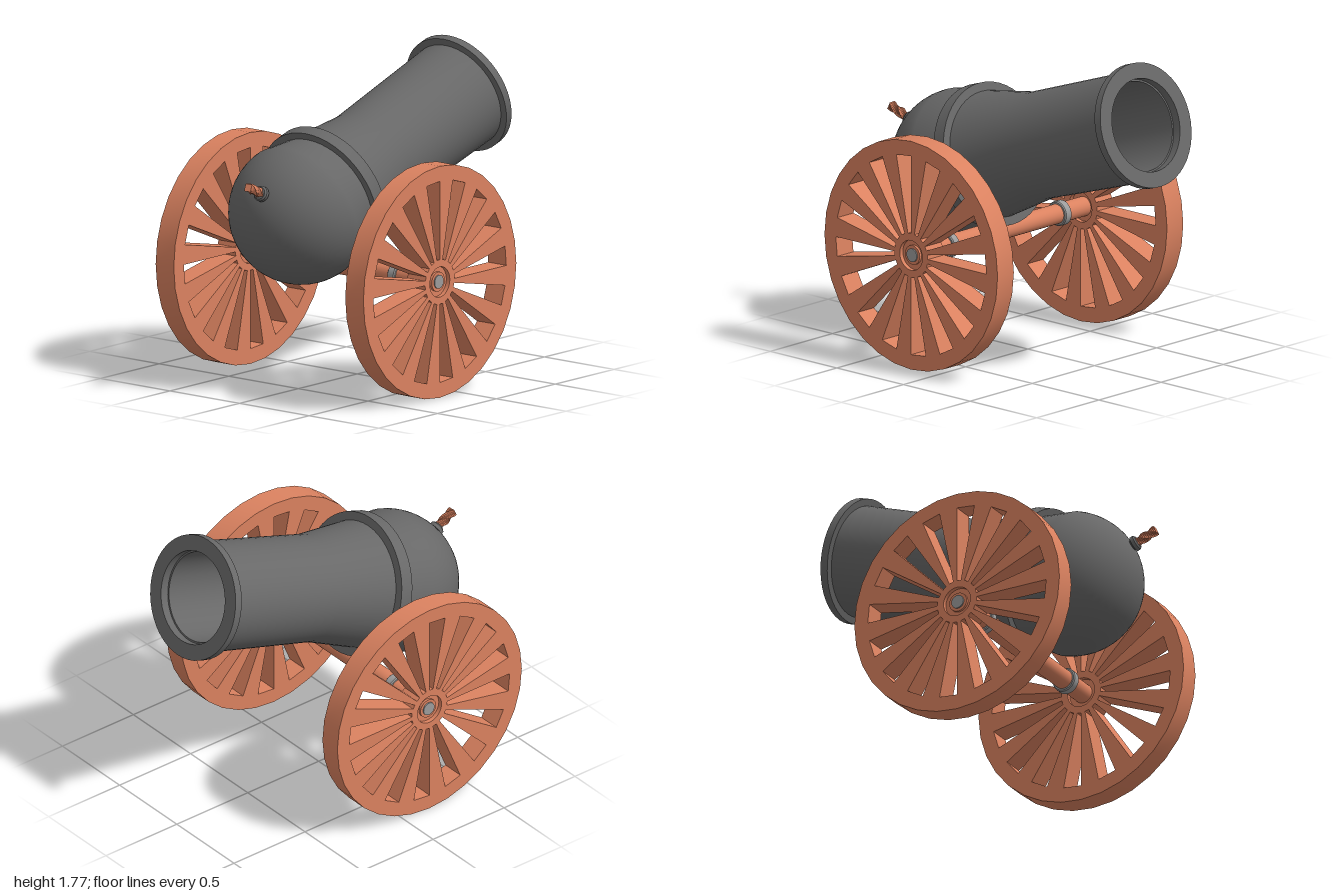
import * as THREE from 'three';
import { toCreasedNormals } from 'three/addons/utils/BufferGeometryUtils.js';

const iron = new THREE.MeshStandardMaterial({ color: 0x686868 });
const steel = new THREE.MeshStandardMaterial({ color: 0x9c9c9c });
const copper = new THREE.MeshStandardMaterial({ color: 0xdb8260 });

const AXLE_Y = 0.65, AXLE_Z = 0.18;

function part(name, geometry, material) {
  const mesh = new THREE.Mesh(geometry, material);
  mesh.name = name;
  return mesh;
}

function lathe(points, segments, crease = 0.4) {
  const profile = points.map(([r, y]) => new THREE.Vector2(r, y));
  return toCreasedNormals(new THREE.LatheGeometry(profile, segments), crease);
}

// Barrel: round breech, raised band, waist, muzzle lip and hollow bore
function makeBarrel() {
  const points = [];
  for (let i = 0; i <= 16; i++) {
    const a = (i / 16) * Math.PI / 2;
    points.push([0.4 * Math.sin(a), -0.4 * Math.cos(a)]);
  }
  points.push(
    [0.362, 0.172], [0.4, 0.172], [0.4, 0.25], [0.352, 0.25],
    [0.298, 0.602], [0.309, 1.392],
    [0.348, 1.392], [0.348, 1.437], [0.26, 1.437], [0.26, 1.387],
    [0.25, 1.387], [0.25, 0.25], [0, 0.25]
  );
  const barrel = part('barrel', lathe(points, 48), iron);
  barrel.rotation.x = -THREE.MathUtils.degToRad(71.57);
  return barrel;
}

// Fuse: collar on the breech with a twisted square cord
function makeFuse() {
  const group = new THREE.Group();
  group.name = 'fuse';
  group.add(part('fuseCollar', lathe([
    [0.03, 0.38], [0.03, 0.403], [0.043, 0.408], [0.043, 0.428], [0.034, 0.437], [0, 0.437]
  ], 20), iron));

  const cord = new THREE.BoxGeometry(0.042, 0.14, 0.042, 1, 14, 1);
  const pos = cord.attributes.position;
  const v = new THREE.Vector3(), up = new THREE.Vector3(0, 1, 0);
  for (let i = 0; i < pos.count; i++) {
    v.fromBufferAttribute(pos, i);
    v.applyAxisAngle(up, v.y * 24);
    pos.setXYZ(i, v.x, v.y + 0.487, v.z);
  }
  group.add(part('fuseCord', toCreasedNormals(cord, 0.7), copper));
  group.quaternion.setFromUnitVectors(up, new THREE.Vector3(0.086, 0.405, 0.91).normalize());
  return group;
}

// Wheel: 32-sided disc with 16 wedge openings between the spokes
function makeWheel() {
  const STEP = Math.PI / 16;
  const at = (r, k) => new THREE.Vector2(r * Math.cos(k * STEP), r * Math.sin(k * STEP));
  const ring = (r) => Array.from({ length: 32 }, (_, k) => at(r, k));
  const shape = new THREE.Shape(ring(0.65));
  shape.holes.push(new THREE.Path(ring(0.085).reverse()));
  for (let k = 0; k < 32; k += 2) {
    shape.holes.push(new THREE.Path([at(0.125, k), at(0.125, k + 1), at(0.565, k + 1), at(0.565, k)]));
  }
  const geometry = new THREE.ExtrudeGeometry(shape, { depth: 0.13, bevelEnabled: false });
  geometry.translate(0, 0, -0.065).rotateY(Math.PI / 2);
  return part('wheel', toCreasedNormals(geometry, 0.25), copper);
}

// Cylinder lying along x
function rod(name, radius, length, material, x = 0) {
  const geometry = new THREE.CylinderGeometry(radius, radius, length, 32).rotateZ(Math.PI / 2);
  const mesh = part(name, geometry, material);
  mesh.position.x = x;
  return mesh;
}

function makeCarriage() {
  const carriage = new THREE.Group();
  carriage.name = 'carriage';
  carriage.position.set(0, AXLE_Y, AXLE_Z);
  carriage.add(rod('axle', 0.055, 1.47, copper));
  const clamp = lathe([
    [0.054, -0.026], [0.064, -0.026], [0.07, -0.02], [0.07, 0.02], [0.064, 0.026], [0.054, 0.026]
  ], 32).rotateZ(Math.PI / 2);

  for (const side of [-1, 1]) {
    const wheel = makeWheel();
    wheel.position.x = side * 0.681;
    carriage.add(wheel);
    // Recessed hub plate and axle pin
    carriage.add(rod('hubPlate', 0.086, 0.08, copper, side * 0.681));
    carriage.add(rod('axlePin', 0.038, 0.04, steel, side * 0.722));
    const collar = part('axleClamp', clamp, steel);
    collar.position.x = side * 0.449;
    carriage.add(collar);
  }
  return carriage;
}

export function createModel() {
  const model = new THREE.Group();
  model.name = 'cannon';
  const gun = new THREE.Group();
  gun.name = 'gun';
  gun.position.set(0, 0.988, 0.477);
  gun.add(makeBarrel(), makeFuse());
  model.add(gun, makeCarriage());
  return model;
}
